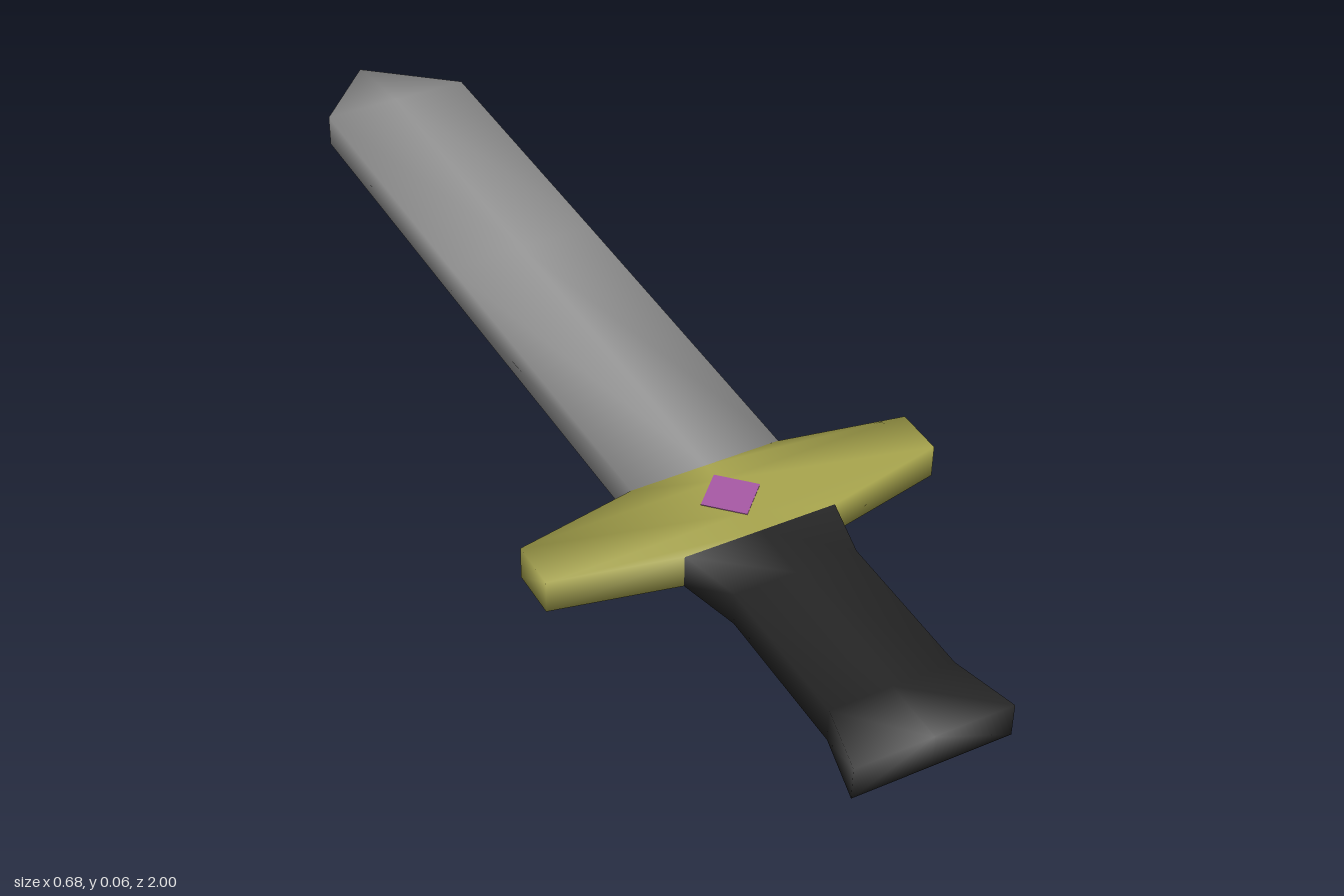
import * as THREE from 'three';

const mat = (name, color) => {
  const m = new THREE.MeshStandardMaterial({ color });
  m.name = name;
  return m;
};

// Outline stations from tip to pommel: [z, half width, half thickness]
const H = 0.029;
const stations = [
  [-1, 0, 0], [-0.83, 0.134, H], [-0.3, 0.133, H], [0.35, 0.13, H],
  [0.39, 0.338, H], [0.475, 0.338, H], [0.52, 0.13, H],
  [0.625, 0.104, H], [0.89, 0.104, H], [1, 0.132, H],
];
const last = stations.length - 1;

// Outward direction of the outline on the +x side, averaged over both neighbours
function outlineNormal(i) {
  const n = new THREE.Vector2();
  const add = (a, b) => n.add(new THREE.Vector2(b[0] - a[0], a[1] - b[1]).normalize());
  if (i > 0) add(stations[i - 1], stations[i]);
  if (i < last) add(stations[i], stations[i + 1]);
  else n.add(new THREE.Vector2(0, 1));
  return n.normalize();
}

// Shared six-point cross-sections with softly rounded normals
const positions = [], normals = [];
const ring = [[0, 1], [-1, 1], [-1, -1], [0, -1], [1, -1], [1, 1]];
stations.forEach(([z, w, h], i) => {
  const out = outlineNormal(i);
  for (const [sx, sy] of ring) {
    positions.push(sx * w, sy * h, z);
    const n = new THREE.Vector3(0, sy, 0);
    if (i === 0) n.set(sx * 0.5, sy * 0.7, -0.6);
    else if (sx !== 0) n.set(sx * out.x, sy, out.y);
    else if (i === 1) n.z = -0.15;
    else if (i === last) n.z = 0.9;
    n.normalize();
    normals.push(n.x, n.y, n.z);
  }
});
const positionAttr = new THREE.Float32BufferAttribute(positions, 3);
const normalAttr = new THREE.Float32BufferAttribute(normals, 3);

// Skin the stations from one index to another as a single part
function skin(name, from, to, material) {
  const index = [];
  for (let i = from; i < to; i++) {
    for (let j = 0; j < 6; j++) {
      const k = (j + 1) % 6;
      const a = i * 6 + j, b = i * 6 + k, c = b + 6, d = a + 6;
      if (i > 0) index.push(a, b, d);
      index.push(b, c, d);
    }
  }
  // Close the pommel end
  if (to === last) {
    for (let j = 1; j < 5; j++) index.push(last * 6, last * 6 + j, last * 6 + j + 1);
  }
  const geo = new THREE.BufferGeometry();
  geo.setAttribute('position', positionAttr);
  geo.setAttribute('normal', normalAttr);
  geo.setIndex(index);
  const mesh = new THREE.Mesh(geo, material);
  mesh.name = name;
  mesh.position.y = 0.03;
  return mesh;
}

export function createModel() {
  const model = new THREE.Group();
  model.name = 'sword';
  model.add(
    skin('blade', 0, 3, mat('steel', 0x9c9c9c)),
    skin('crossGuard', 3, 6, mat('brass', 0xa9a64e)),
    skin('grip', 6, last, mat('blackLeather', 0x272727)),
  );

  // Diamond gem inlay, a thin plate on each flat of the guard
  const gemMaterial = mat('purpleGem', 0xa85aa6);
  for (const side of [1, -1]) {
    const gem = new THREE.Mesh(new THREE.CylinderGeometry(0.052, 0.052, 0.004, 4), gemMaterial);
    gem.name = side > 0 ? 'gemTop' : 'gemBottom';
    gem.position.set(0, 0.03 + side * 0.028, 0.428);
    model.add(gem);
  }
  return model;
}
